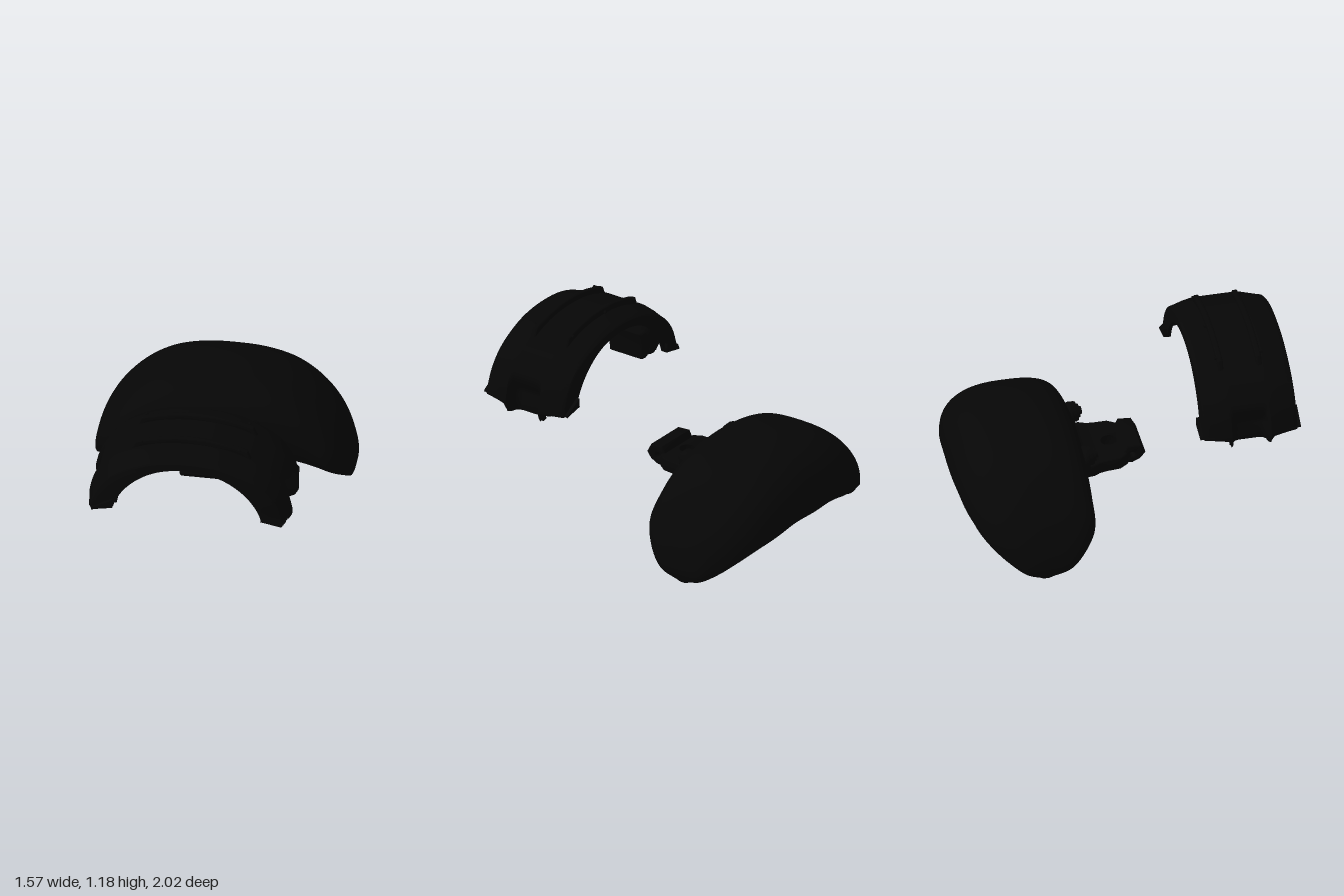
import * as THREE from 'three';
import { toCreasedNormals } from 'three/addons/utils/BufferGeometryUtils.js';

const black = new THREE.MeshStandardMaterial({ color: 0x060606, side: THREE.DoubleSide });
black.name = 'black plastic';

function add(parent, name, geo, x = 0, y = 0, z = 0) {
  const m = new THREE.Mesh(geo, black);
  m.name = name;
  m.position.set(x, y, z);
  parent.add(m);
  return m;
}

// Walled shell through rows of points: point(u, j) for u in 0..1 and column j;
// thickness(u) offsets a second skin against the normals
function shell(rows, cols, point, thickness) {
  const pos = [], idx = [], count = (rows + 1) * cols;
  const quad = (a, b, c, d) => idx.push(a, b, c, c, b, d);
  for (let i = 0; i <= rows; i++) {
    for (let j = 0; j < cols; j++) {
      pos.push(...point(i / rows, j).toArray());
      const a = i * cols + j;
      if (i < rows && j < cols - 1) quad(a, a + 1, a + cols, a + cols + 1);
    }
  }
  const g = new THREE.BufferGeometry();
  g.setAttribute('position', new THREE.Float32BufferAttribute(pos, 3));
  g.setIndex([...idx]);
  g.computeVertexNormals();
  const n = g.attributes.normal;
  for (let v = 0; v < count; v++) {
    const t = thickness(Math.floor(v / cols) / rows);
    pos.push(pos[3 * v] - n.getX(v) * t, pos[3 * v + 1] - n.getY(v) * t, pos[3 * v + 2] - n.getZ(v) * t);
  }
  const skin = idx.length;
  for (let k = 0; k < skin; k += 3) idx.push(idx[k] + count, idx[k + 2] + count, idx[k + 1] + count);
  // Close the rim between the two skins
  for (let i = 0; i < rows; i++) {
    for (const j of [0, cols - 1]) {
      const a = i * cols + j;
      quad(a, a + cols, a + count, a + cols + count);
    }
  }
  for (let j = 0; j < cols - 1; j++) {
    for (const a of [j, rows * cols + j]) quad(a, a + 1, a + count, a + 1 + count);
  }
  g.setAttribute('position', new THREE.Float32BufferAttribute(pos, 3));
  g.deleteAttribute('normal');
  g.setIndex(idx);
  return toCreasedNormals(g, 0.7);
}

// Curve from the centre line out to +x, mirrored to -x
function mirrored(half) {
  const right = half.map(p => new THREE.Vector3(p[0], p[1], p[2] ?? 0));
  const left = right.slice(1).reverse().map(p => new THREE.Vector3(-p.x, p.y, p.z));
  return new THREE.CatmullRomCurve3([...left, ...right]);
}

function extrude(points, depth, holes = [], bevel = 0.006) {
  const s = new THREE.Shape(points.map(p => new THREE.Vector2(p[0], p[1])));
  for (const [x, y, r] of holes) s.holes.push(new THREE.Path().absarc(x, y, r, 0, Math.PI * 2, true));
  const g = new THREE.ExtrudeGeometry(s, {
    depth: depth - 2 * bevel, bevelEnabled: true, bevelSize: bevel, bevelThickness: bevel,
    bevelOffset: -bevel, bevelSegments: 3, curveSegments: 32,
  }).translate(0, 0, bevel);
  return toCreasedNormals(g, 0.6);
}

function rearFender() {
  const g = new THREE.Group();
  g.name = 'rearFender';
  // Guide lines running from side to side
  const crown = mirrored([[0, .69, -.57], [.2, .675, -.57], [.38, .63, -.57], [.54, .53, -.57],
    [.67, .39, -.56], [.75, .24, -.54], [.784, .08, -.54], [.76, .004, -.57]]);
  const frontCrest = mirrored([[0, .40, -.22], [.2, .40, -.225], [.38, .37, -.235], [.53, .30, -.24],
    [.64, .23, -.25], [.72, .14, -.32], [.765, .055, -.42], [.755, .004, -.55]]);
  const frontRim = mirrored([[0, .30, -.25], [.17, .295, -.25], [.33, .255, -.27], [.46, .215, -.3],
    [.56, .165, -.33], [.65, .085, -.39], [.72, .02, -.47], [.745, .004, -.56]]);
  const rearCrest = mirrored([[0, .36, -1], [.2, .35, -1], [.38, .31, -.978], [.53, .24, -.935],
    [.64, .172, -.865], [.715, .1, -.775], [.76, .045, -.69], [.755, .004, -.595]]);
  const rearRim = mirrored([[0, .285, -.99], [.18, .285, -.985], [.34, .25, -.965], [.48, .205, -.92],
    [.59, .14, -.85], [.67, .07, -.765], [.725, .018, -.675], [.745, .004, -.59]]);
  const n = 14;
  add(g, 'fenderShell', shell(80, 2 * n + 3, (u, j) => {
    if (j === 0) return rearRim.getPoint(u);
    if (j === 2 * n + 2) return frontRim.getPoint(u);
    const k = j - 1 - n, a = Math.abs(k) / n * Math.PI / 2;
    const top = crown.getPoint(u), crest = (k > 0 ? frontCrest : rearCrest).getPoint(u);
    const e = k > 0 ? 0.66 : 0.82;
    const rise = Math.pow(Math.max(0, Math.cos(a)), e), out = Math.pow(Math.sin(a), e);
    return new THREE.Vector3(
      crest.x + (top.x - crest.x) * rise,
      crest.y + (top.y - crest.y) * rise,
      top.z + (crest.z - top.z) * out);
  }, u => 0.022 * Math.min(1, 0.2 + 12 * u * (1 - u))));
  return g;
}

function mountingBracket() {
  const g = new THREE.Group();
  g.name = 'mountingBracket';
  // Plate outline in x and z, mirrored about its own middle
  const half = [[.16, .045], [.195, -.005], [.198, -.08], [.205, -.13], [.225, -.17], [.23, -.235]];
  const outline = [...half, ...half.slice().reverse().map(([x, z]) => [-x, z])];
  const plate = extrude(outline, 0.08, [[0, -.035, .056]], 0.008);
  plate.rotateX(Math.PI / 2);
  add(g, 'bracketPlate', plate, -.035, .418, 0).rotation.x = -0.04;
  // Front lug with a cross hole
  const lug = extrude([[.16, .4], [.13, .455], [.05, .46], [.03, .42], [.02, .34], [.08, .335], [.13, .36]],
    0.29, [[.08, .395, .016]], 0.01);
  lug.rotateY(-Math.PI / 2);
  add(g, 'bracketLug', lug, .11, 0, 0);
  // Gusset joining the plate to the fender
  const gusset = extrude([[-.24, .282], [-.19, .312], [-.11, .33], [-.11, .41], [-.2, .425], [-.235, .45]], 0.36, [], 0.01);
  gusset.rotateY(-Math.PI / 2);
  add(g, 'bracketGusset', gusset, .145, 0, 0);
  // Stepped round bosses on teardrop pads
  const steps = [[.062, 0], [.062, .05], [.056, .062], [.043, .062], [.04, .076], [.026, .076], [.023, .09], [0, .09]];
  for (const s of [-1, 1]) {
    const boss = new THREE.LatheGeometry(steps.map(p => new THREE.Vector2(p[0], p[1])), 40);
    boss.rotateX(Math.PI / 2);
    add(g, 'boss', toCreasedNormals(boss, 0.6), -.03 + s * .222, .485, -.24).rotation.x = -0.12;
    const pad = [[-.09, -.17], [-.03, -.16], [.04, -.1]];
    for (let i = 0; i <= 16; i++) {
      const a = -0.5 + i / 16 * (Math.PI + 0.7);
      pad.push([.066 * Math.cos(a), .066 * Math.sin(a)]);
    }
    add(g, 'bossPad', extrude(pad.map(([x, y]) => [s * x, y]), 0.04, [], 0.012), -.03 + s * .222, .485, -.242);
  }
  return g;
}

function frontFender() {
  const g = new THREE.Group();
  g.name = 'frontFender';
  const outer = mirrored([[0, 1.15], [.2, 1.13], [.365, 1.072], [.49, .995], [.57, .89], [.605, .78], [.612, .71], [.59, .66]]);
  const inner = mirrored([[0, 1.07], [.15, 1.05], [.26, 1.0], [.35, .925], [.405, .85], [.435, .78], [.446, .71], [.45, .655]]);
  // Section across z: position, edge drop, recess amount; negative drop marks the wall edge
  const half = [[-.285, -1, 0], [-.285, 1.3, 0], [-.277, 1, 0], [-.24, .75, 0], [-.19, .35, 0],
    [-.14, .08, 0], [-.12, 0, 0], [-.108, 0, .25], [-.1, 0, .7], [-.085, 0, .92], [-.06, 0, 1], [0, 0, 1]];
  const section = [...half, ...half.slice(0, -1).reverse().map(([z, d, r]) => [-z, d, r])];
  add(g, 'archShell', shell(90, section.length, (u, j) => {
    const [z, drop, recess] = section[j];
    const k = Math.abs(2 * u - 1);
    const d = drop < 0 ? 1 : drop * .35 * (1 - .6 * k) + recess * .55 * THREE.MathUtils.smoothstep(k, .52, .72);
    const p = outer.getPoint(u).lerp(inner.getPoint(u), d);
    // The wall corners stop higher than the middle tongue, most of all inside
    p.y += (.07 + .09 * d) * THREE.MathUtils.smoothstep(Math.abs(z), .115, .15) * Math.pow(k, 8);
    p.z = .715 + z;
    return p;
  }, () => 0.022));
  // Inner pads behind the side recesses
  for (const s of [-1, 1]) {
    add(g, 'innerPad', extrude([[s * .45, .656], [s * .485, .652], [s * .52, .67], [s * .525, .72], [s * .49, .83],
      [s * .42, .83], [s * .437, .78], [s * .446, .71]], 0.25, [], 0.015), 0, 0, .59);
  }
  // Two raised ribs over the crown with small studs
  const ribTop = [[-.368, 1.06], [-.355, 1.085], [-.338, 1.125], [-.3, 1.138], [-.2, 1.163], [-.1, 1.179], [0, 1.183]];
  const ribBase = [[.3, 1.09], [.2, 1.122], [.1, 1.138], [0, 1.142], [-.1, 1.138], [-.2, 1.122], [-.3, 1.09]];
  const rib = [...ribTop, ...ribTop.slice(0, -1).reverse().map(([x, y]) => [-x, y]), ...ribBase];
  for (const [z, side, xs] of [[.58, -1, [-.31, -.02, .31]], [.815, 1, [-.3, .29]]]) {
    add(g, 'rib', extrude(rib, 0.034, [], 0.009), 0, 0, z - .017);
    for (const x of xs) {
      const stud = new THREE.CylinderGeometry(.009, .009, .02, 16).rotateX(Math.PI / 2);
      add(g, 'stud', stud, x, 1.158 - .3 * x * x, z + side * .02);
    }
  }
  return g;
}

export function createModel() {
  const model = new THREE.Group();
  model.name = 'fenderSet';
  model.add(rearFender(), mountingBracket(), frontFender());
  return model;
}
